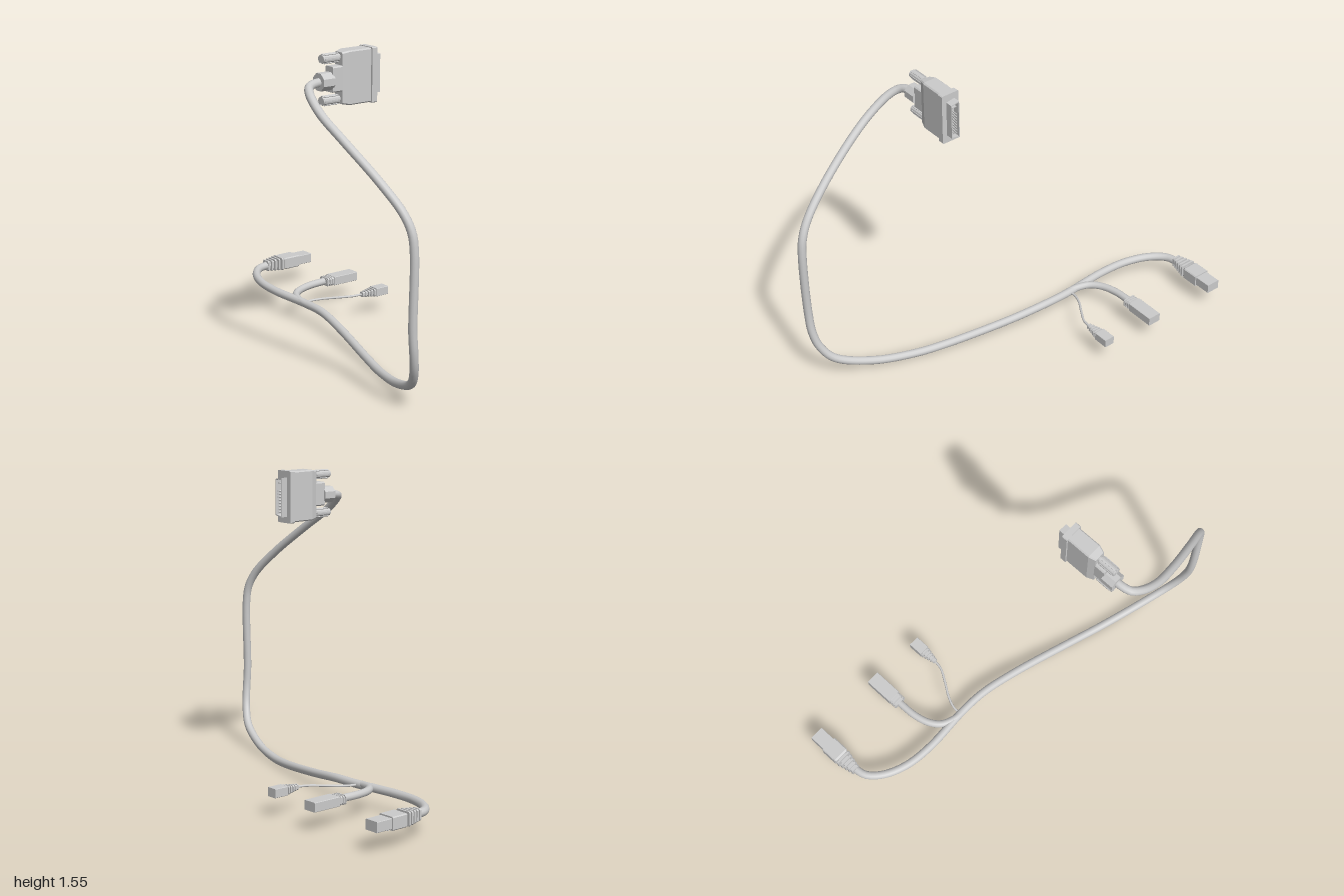
import * as THREE from 'three';
import { mergeVertices } from 'three/addons/utils/BufferGeometryUtils.js';

const grey = new THREE.MeshStandardMaterial({ color: 0xcccccc });
const flat = new THREE.MeshStandardMaterial({ color: 0xcccccc, flatShading: true });

function add(parent, name, geometry, material = flat, x = 0, y = 0, z = 0) {
  const mesh = new THREE.Mesh(geometry, material);
  mesh.name = name;
  mesh.position.set(x, y, z);
  parent.add(mesh);
  return mesh;
}

// Chamfered-rectangle sections [z, halfWidth, halfHeight, chamfer], z rising
function loft(sections) {
  const pos = [], index = [], n = 8;
  for (const [z, w, h, c] of sections) {
    const ring = [[w, -h + c], [w, h - c], [w - c, h], [-w + c, h],
      [-w, h - c], [-w, -h + c], [-w + c, -h], [w - c, -h]];
    for (const [x, y] of ring) pos.push(x, y, z);
  }
  for (let s = 0; s < sections.length - 1; s++) {
    for (let i = 0; i < n; i++) {
      const a = s * n + i, b = s * n + (i + 1) % n;
      index.push(a, b, b + n, a, b + n, a + n);
    }
  }
  const last = (sections.length - 1) * n;
  for (let i = 1; i < n - 1; i++) {
    index.push(0, i + 1, i, last, last + i, last + i + 1);
  }
  const g = new THREE.BufferGeometry();
  g.setAttribute('position', new THREE.Float32BufferAttribute(pos, 3));
  g.setIndex(index);
  const out = g.toNonIndexed();
  out.computeVertexNormals();
  return out;
}

function cable(parent, name, points, radius, segments) {
  const curve = new THREE.CatmullRomCurve3(points.map(p => new THREE.Vector3(...p)), false, 'centripetal');
  add(parent, name, mergeVertices(new THREE.TubeGeometry(curve, segments, radius, 12)), grey);
}

function rod(parent, name, radius, z0, z1, sides, x, y, material = flat) {
  const g = new THREE.CylinderGeometry(radius, radius, z1 - z0, sides).rotateX(Math.PI / 2);
  return add(parent, name, g, material, x, y, (z0 + z1) / 2);
}

// Tapering core with raised plates
function ribbedBoot(parent, z0, z1, big, small, count) {
  add(parent, 'bootCore', loft([
    [z0, big[0] * 0.65, big[1] * 0.65, 0.004],
    [z1, small[0] * 0.75, small[1] * 0.75, 0.004]]));
  const step = (z1 - z0) / count;
  for (let i = 0; i < count; i++) {
    const t = i / (count - 1), z = z0 + step * (i + 0.45);
    const w = THREE.MathUtils.lerp(big[0], small[0], t);
    const h = THREE.MathUtils.lerp(big[1], small[1], t);
    add(parent, 'bootRib', loft([[z, w, h, 0.006], [z + step * 0.5, w, h, 0.006]]));
  }
}

// D-shaped outline, long side along y
function dShape(Type, w, h, slant) {
  const s = new Type();
  s.moveTo(-w, -h);
  s.lineTo(w, -h + slant);
  s.lineTo(w, h - slant);
  s.lineTo(-w, h);
  s.closePath();
  return s;
}

function videoPlug() {
  const g = new THREE.Group();
  g.name = 'videoPlug';
  // Housing, flange and neck
  add(g, 'flange', loft([[0.062, 0.048, 0.13, 0.004], [0.092, 0.048, 0.13, 0.004]]));
  add(g, 'housing', loft([
    [0.092, 0.04, 0.127, 0.006], [0.215, 0.04, 0.127, 0.006], [0.25, 0.028, 0.12, 0.006]]));
  add(g, 'neck', loft([[0.24, 0.029, 0.06, 0.006], [0.305, 0.029, 0.06, 0.006]]));
  rod(g, 'cableCollar', 0.044, 0.30, 0.366, 8, 0, -0.007).rotation.z = Math.PI / 8;

  // Thumb screws with grips and a slotted head
  for (const side of [-1, 1]) {
    const y = side * 0.097;
    rod(g, 'screwShaft', 0.015, 0.21, 0.265, 12, 0, y, grey);
    rod(g, 'screwGrip', 0.022, 0.258, 0.345, 12, 0, y);
    for (let i = 0; i < 6; i++) {
      const a = i * Math.PI / 3;
      add(g, 'gripRidge', new THREE.BoxGeometry(0.007, 0.007, 0.08), flat,
        Math.cos(a) * 0.021, y + Math.sin(a) * 0.021, 0.302).rotation.z = a;
    }
    for (const half of [-1, 1]) {
      add(g, 'slotHalf', new THREE.CylinderGeometry(0.019, 0.019, 0.008, 10, 1, false, 0, Math.PI)
        .rotateX(Math.PI / 2).rotateZ(half > 0 ? 0 : Math.PI),
      new THREE.MeshStandardMaterial({ color: 0xcccccc, flatShading: true, side: THREE.DoubleSide }),
      half * 0.003, y, 0.348);
    }
  }

  // Hollow shield with rows of pins
  const shield = dShape(THREE.Shape, 0.023, 0.098, 0.008);
  shield.holes.push(dShape(THREE.Path, 0.019, 0.093, 0.008));
  add(g, 'shield', new THREE.ExtrudeGeometry(shield, { depth: 0.04, bevelEnabled: false }), flat, 0, 0, 0.025);
  for (let row = -1; row <= 1; row++) {
    for (let i = 0; i < 8; i++) {
      rod(g, 'pin', 0.003, 0.032, 0.064, 6, row * 0.011, -0.075 + i * 0.015);
    }
  }
  add(g, 'bladePin', new THREE.BoxGeometry(0.024, 0.004, 0.032), flat, 0, 0.07, 0.048);
  g.position.set(0.30, 1.416, 0);
  return g;
}

function networkPlug() {
  const g = new THREE.Group();
  g.name = 'networkPlug';
  add(g, 'tip', loft([[-0.498, 0.037, 0.025, 0.002], [-0.40, 0.037, 0.025, 0.002]]));
  add(g, 'sleeve', loft([
    [-0.41, 0.044, 0.032, 0.005], [-0.325, 0.044, 0.032, 0.005], [-0.315, 0.038, 0.028, 0.005]]));
  ribbedBoot(g, -0.317, -0.215, [0.042, 0.034], [0.024, 0.028], 5);
  // Spring latch under the tip
  add(g, 'latch', new THREE.BoxGeometry(0.02, 0.005, 0.075), flat, 0, -0.031, -0.437).rotation.x = 0.2;
  g.position.set(-0.955, 0.125, 0);
  return g;
}

function flatPlug() {
  const g = new THREE.Group();
  g.name = 'flatPlug';
  add(g, 'body', loft([[-0.498, 0.036, 0.023, 0.002], [-0.345, 0.036, 0.023, 0.002]]));
  add(g, 'collar', loft([[-0.35, 0.033, 0.021, 0.008], [-0.30, 0.029, 0.019, 0.008]]));
  for (let i = 0; i < 3; i++) {
    const z = -0.337 + i * 0.014;
    add(g, 'collarRib', loft([[z, 0.035, 0.022, 0.007], [z + 0.006, 0.035, 0.022, 0.007]]));
  }
  g.position.set(-0.542, 0.121, 0);
  return g;
}

function smallPlug() {
  const g = new THREE.Group();
  g.name = 'smallPlug';
  add(g, 'body', loft([[-0.482, 0.028, 0.022, 0.002], [-0.405, 0.028, 0.022, 0.002]]));
  ribbedBoot(g, -0.407, -0.325, [0.027, 0.02], [0.013, 0.014], 5);
  g.position.set(-0.252, 0.118, 0);
  return g;
}

export function createModel() {
  const model = new THREE.Group();
  model.name = 'cableAssembly';

  // Main cable from the video plug down to the network plug
  cable(model, 'mainCable', [
    [0.30, 1.408, 0.34], [0.302, 1.406, 0.385], [0.315, 1.397, 0.43], [0.36, 1.37, 0.46],
    [0.46, 1.30, 0.475], [0.60, 1.205, 0.458], [0.80, 1.05, 0.413], [0.92, 0.93, 0.378],
    [0.962, 0.85, 0.363], [0.975, 0.76, 0.358], [0.97, 0.40, 0.358], [0.964, 0.28, 0.345],
    [0.94, 0.19, 0.323], [0.88, 0.11, 0.288], [0.70, 0.042, 0.22], [0.50, 0.021, 0.155],
    [0.34, 0.029, 0.105], [0, 0.07, 0.01], [-0.20, 0.095, -0.03], [-0.35, 0.10, -0.038],
    [-0.60, 0.106, -0.028], [-0.75, 0.111, -0.045], [-0.87, 0.117, -0.095],
    [-0.94, 0.122, -0.165], [-0.955, 0.125, -0.25]], 0.021, 160);

  // Branches
  cable(model, 'middleBranch', [
    [-0.33, 0.10, -0.035], [-0.41, 0.105, -0.04], [-0.475, 0.11, -0.068], [-0.515, 0.114, -0.12],
    [-0.538, 0.118, -0.2], [-0.543, 0.121, -0.31]], 0.019, 40);
  cable(model, 'thinBranch', [
    [-0.365, 0.10, -0.04], [-0.367, 0.103, -0.08], [-0.345, 0.107, -0.14], [-0.30, 0.112, -0.21],
    [-0.26, 0.116, -0.28], [-0.252, 0.118, -0.34]], 0.006, 32);

  model.add(videoPlug(), networkPlug(), flatPlug(), smallPlug());
  return model;
}
